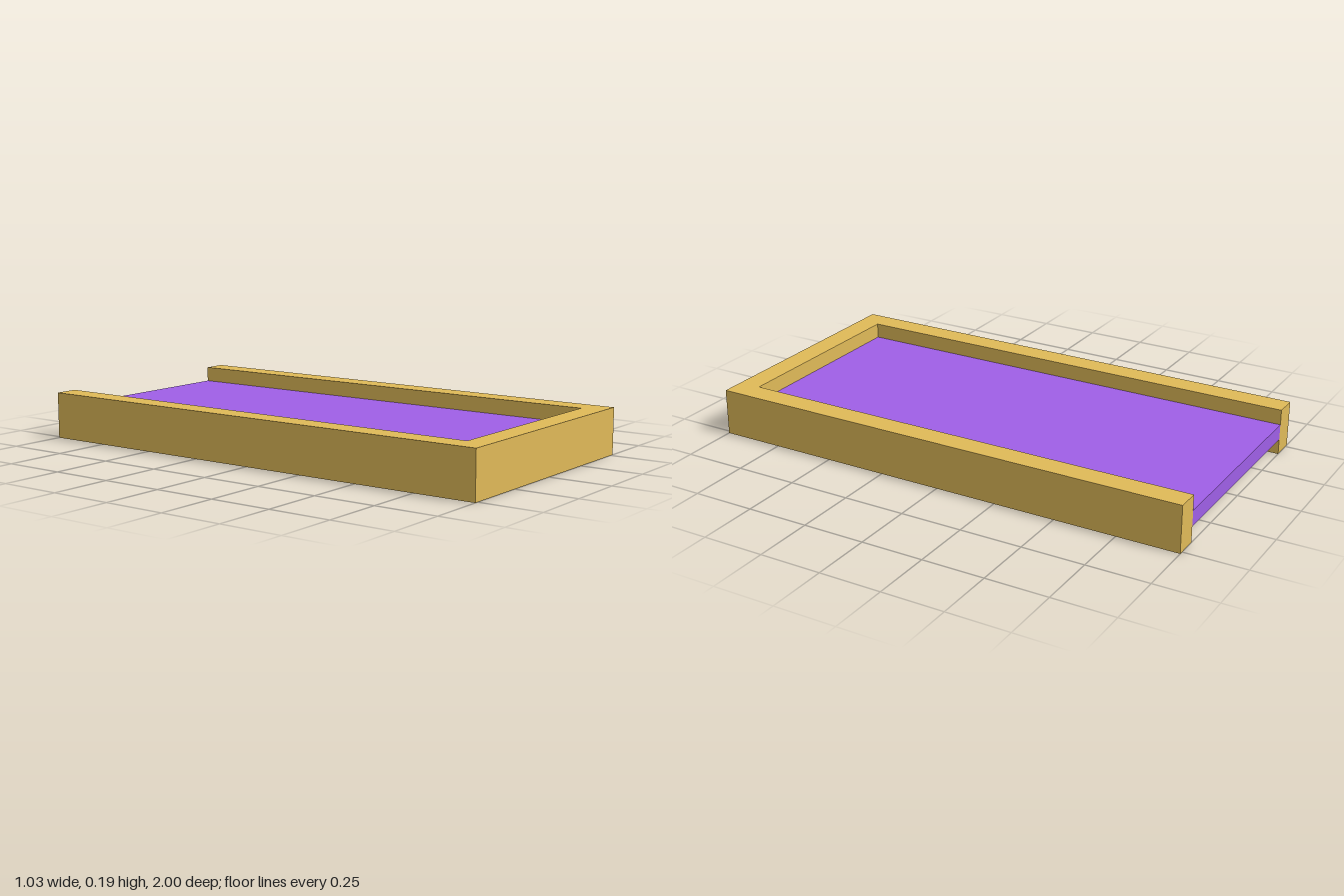
import * as THREE from 'three';

const HALF_W = 0.515, INNER_W = 0.42, FRONT_INNER = 0.907, HEIGHT = 0.188;
const PANEL_BOTTOM = 0.063, PANEL_TOP = 0.126;

export function createModel() {
  const wood = new THREE.MeshStandardMaterial({ color: 0xe0ba58 });
  wood.name = 'golden wood';
  const purple = new THREE.MeshStandardMaterial({ color: 0xa060e8 });
  purple.name = 'purple panel';

  const model = new THREE.Group();
  model.name = 'framedPanel';

  // U-shaped frame, open at the back (shape y is -z)
  const outline = new THREE.Shape([
    [-HALF_W, -1], [HALF_W, -1], [HALF_W, 1], [INNER_W, 1],
    [INNER_W, -FRONT_INNER], [-INNER_W, -FRONT_INNER], [-INNER_W, 1], [-HALF_W, 1],
  ].map(([x, y]) => new THREE.Vector2(x, y)));
  const frameGeometry = new THREE.ExtrudeGeometry(outline, { depth: HEIGHT, bevelEnabled: false });
  frameGeometry.rotateX(-Math.PI / 2);
  const frame = new THREE.Mesh(frameGeometry, wood);
  frame.name = 'frame';
  model.add(frame);

  // Panel held halfway up the frame, flush with its open back
  const panel = new THREE.Mesh(
    new THREE.BoxGeometry(INNER_W * 2, PANEL_TOP - PANEL_BOTTOM, FRONT_INNER + 1), purple);
  panel.position.set(0, (PANEL_TOP + PANEL_BOTTOM) / 2, (FRONT_INNER - 1) / 2);
  panel.name = 'panel';
  model.add(panel);

  return model;
}
